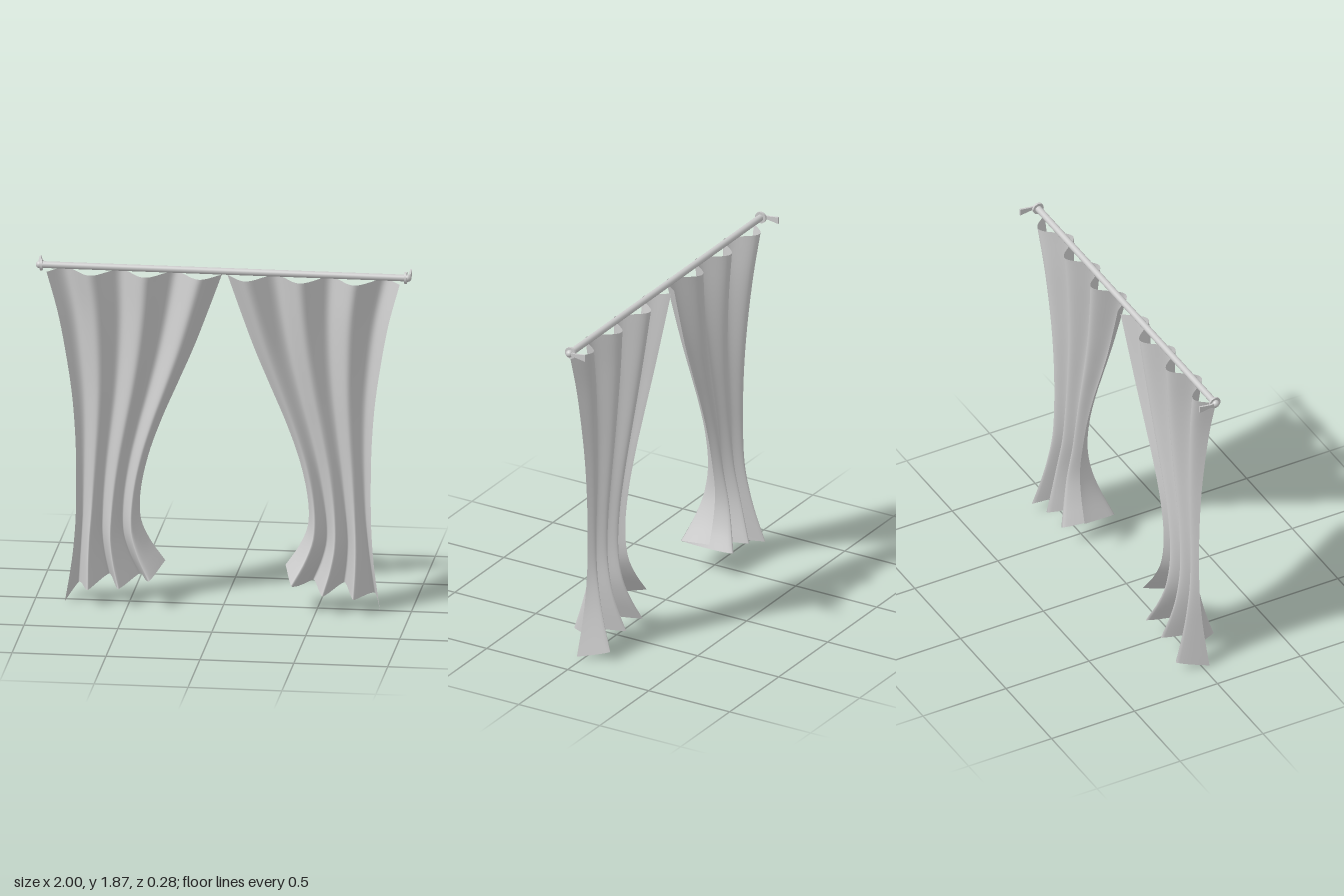
import * as THREE from 'three';

const material = new THREE.MeshStandardMaterial({ color: 0xcccccc, side: THREE.DoubleSide });
const ROD_Y = 1.842;
const TOP = 1.81;

// Cloth rows from top to hem: [v, inner edge x, outer edge x, fold depth]
const ROWS = [
  [0, 0.015, 0.94, 0.065], [0.125, 0.087, 0.88, 0.052], [0.25, 0.162, 0.838, 0.04],
  [0.375, 0.247, 0.806, 0.031], [0.5, 0.332, 0.789, 0.025], [0.625, 0.402, 0.784, 0.023],
  [0.75, 0.444, 0.787, 0.032], [0.85, 0.445, 0.8, 0.062], [0.925, 0.398, 0.818, 0.097],
  [1, 0.32, 0.84, 0.142],
];
// Hem height across the cloth, inner edge to outer edge: [u, y]
const HEM = [[0, 0.21], [0.1, 0.162], [0.23, 0.12], [0.42, 0.107], [0.63, 0.105],
  [0.77, 0.09], [0.89, 0.058], [1, 0]];

// Smooth interpolation of a small table keyed by its first column
function sample(table, t, column) {
  let i = 0;
  while (i < table.length - 2 && t > table[i + 1][0]) i++;
  const a = table[i], b = table[i + 1];
  const p = table[Math.max(i - 1, 0)], n = table[Math.min(i + 2, table.length - 1)];
  const h = b[0] - a[0], s = (t - a[0]) / h;
  const m0 = (b[column] - p[column]) / (b[0] - p[0]) * h;
  const m1 = (n[column] - a[column]) / (n[0] - a[0]) * h;
  const s2 = s * s, s3 = s2 * s;
  return (2 * s3 - 3 * s2 + 1) * a[column] + (s3 - 2 * s2 + s) * m0
    + (3 * s2 - 2 * s3) * b[column] + (s3 - s2) * m1;
}

// One pleated panel: rounded folds at the top, sharper flared folds at the hem
function curtain(side) {
  const geometry = new THREE.PlaneGeometry(1, 1, 76, 48);
  const pos = geometry.attributes.position;
  for (let i = 0; i < pos.count; i++) {
    const across = pos.getX(i) + 0.5;
    const u = side > 0 ? across : 1 - across;
    const v = 0.5 - pos.getY(i);
    const inner = sample(ROWS, v, 1), outer = sample(ROWS, v, 2);
    const wave = Math.cos(2 * Math.PI * (u - 0.115) / 0.315);
    const zigzag = Math.asin(wave) * 2 / Math.PI;
    const fold = THREE.MathUtils.lerp(wave, zigzag, 0.65 * v * v);
    pos.setXYZ(i,
      side * THREE.MathUtils.lerp(inner, outer, u),
      TOP - v * (TOP - sample(HEM, u, 1)),
      sample(ROWS, v, 3) * fold);
  }
  geometry.computeVertexNormals();
  const mesh = new THREE.Mesh(geometry, material);
  mesh.name = side > 0 ? 'leftCurtain' : 'rightCurtain';
  return mesh;
}

function part(name, geometry, x = 0, y = ROD_Y, z = 0) {
  const mesh = new THREE.Mesh(geometry, material);
  mesh.name = name;
  mesh.position.set(x, y, z);
  return mesh;
}

// Flange, knob and wall bracket at one end of the rod
function rodEnd(side) {
  const end = new THREE.Group();
  end.name = side > 0 ? 'leftRodEnd' : 'rightRodEnd';
  const flange = new THREE.CylinderGeometry(0.032, 0.032, 0.012, 24).rotateZ(Math.PI / 2);
  end.add(part('flange', flange, side * 0.97));
  const knob = new THREE.SphereGeometry(0.02, 20, 14);
  end.add(part('knob', knob, side * 0.98));

  // Blade widening towards the wall, drawn as (z, y) and extruded along x
  const blade = new THREE.Shape([[0, -0.01], [0.04, -0.01], [0.1, -0.019], [0.1, 0.019],
    [0.04, 0.01], [0, 0.01]].map(([a, b]) => new THREE.Vector2(a, b)));
  const bracket = new THREE.ExtrudeGeometry(blade, { depth: 0.01, bevelEnabled: false });
  bracket.translate(0, 0, -0.005).rotateY(Math.PI / 2);
  end.add(part('wallBracket', bracket, side * 0.986));
  return end;
}

export function createModel() {
  const model = new THREE.Group();
  model.name = 'curtains';
  model.add(part('rod', new THREE.CylinderGeometry(0.018, 0.018, 1.95, 24).rotateZ(Math.PI / 2)));
  for (const side of [-1, 1]) model.add(curtain(side), rodEnd(side));
  return model;
}
